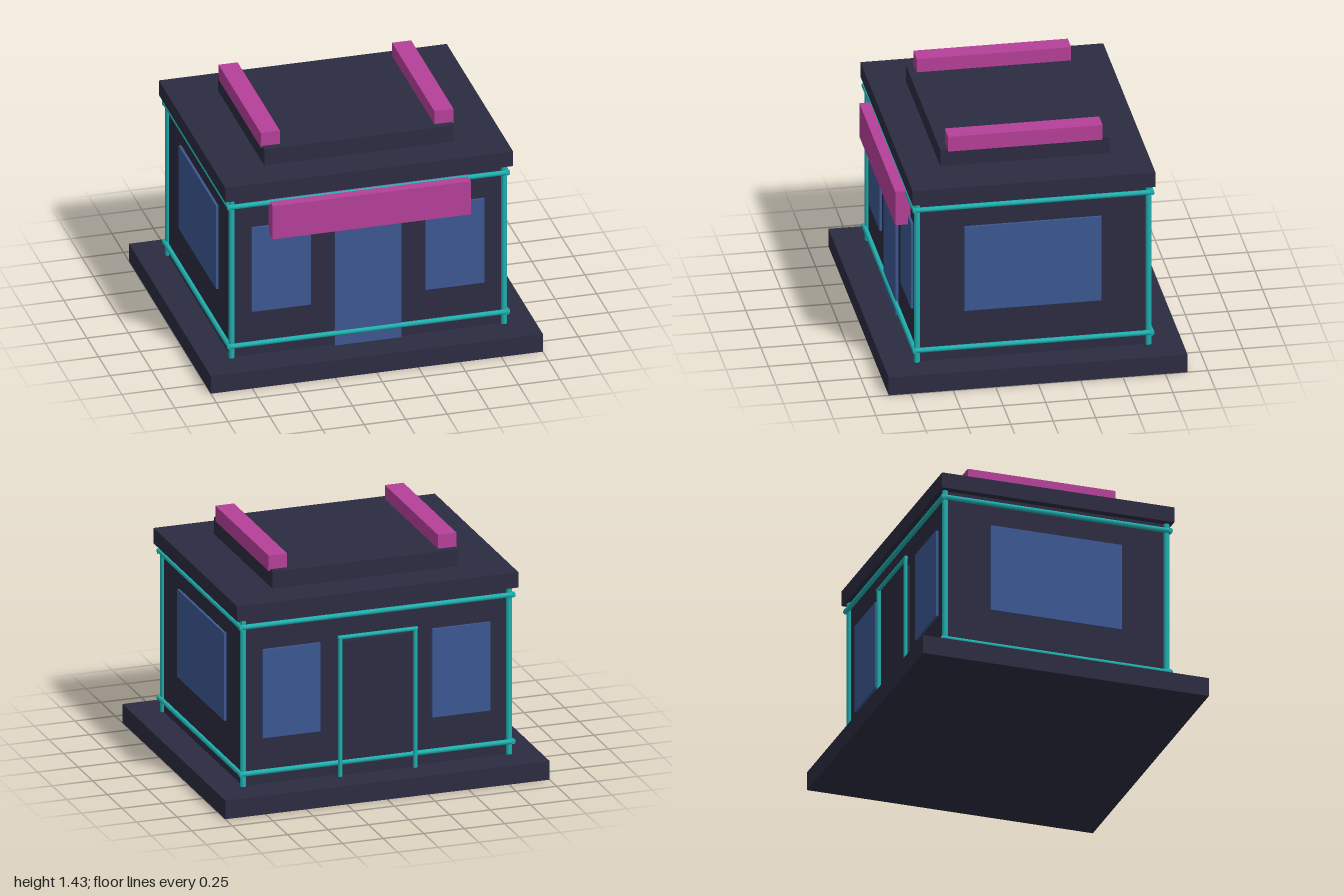
import * as THREE from 'three';

const mat = (name, color) => {
  const m = new THREE.MeshStandardMaterial({ color });
  m.name = name;
  return m;
};

export function createModel() {
  const root = new THREE.Group();
  root.name = 'kiosk';
  const dark = mat('dark slate', 0x2c2c42);
  const teal = mat('teal trim', 0x20b0b0);
  const magenta = mat('magenta', 0xb64099);
  const blue = mat('blue glass', 0x3c5892);

  // Box given by its min and max corners
  const box = (name, m, [x0, y0, z0], [x1, y1, z1]) => {
    const mesh = new THREE.Mesh(new THREE.BoxGeometry(x1 - x0, y1 - y0, z1 - z0), m);
    mesh.position.set((x0 + x1) / 2, (y0 + y1) / 2, (z0 + z1) / 2);
    mesh.name = name;
    root.add(mesh);
  };
  // Eight-sided tube centred at a point, running along one axis
  const tube = (name, axis, length, r, x, y, z) => {
    const geo = new THREE.CylinderGeometry(r, r, length, 8);
    geo.rotateY(Math.PI / 8);
    if (axis === 'x') geo.rotateZ(Math.PI / 2);
    if (axis === 'z') geo.rotateX(Math.PI / 2);
    const mesh = new THREE.Mesh(geo, teal);
    mesh.position.set(x, y, z);
    mesh.name = name;
    root.add(mesh);
  };

  // Base, walls and stepped roof
  box('base', dark, [-1, 0, -0.88], [1, 0.115, 0.88]);
  box('walls', dark, [-0.82, 0.115, -0.68], [0.82, 1.145, 0.68]);
  box('roofSlab', dark, [-0.867, 1.145, -0.715], [0.867, 1.24, 0.715]);
  box('roofStep', dark, [-0.572, 1.24, -0.5], [0.572, 1.345, 0.5]);

  // Sign over the entrance
  box('sign', magenta, [-0.597, 0.895, 0.68], [0.597, 1.11, 0.77]);

  // Front and back doors
  box('frontDoor', blue, [-0.2, 0.115, 0.68], [0.2, 0.93, 0.698]);
  box('backDoor', dark, [-0.21, 0.115, -0.702], [0.21, 0.94, -0.68]);

  for (const s of [-1, 1]) {
    // Roof beams
    box('roofBeam', magenta, [s * 0.5225 - 0.0575, 1.335, -0.455], [s * 0.5225 + 0.0575, 1.43, 0.455]);
    // Side window
    box('sideWindow', blue, [s * 0.826 - 0.009, 0.425, -0.403], [s * 0.826 + 0.009, 0.965, 0.403]);
    for (const t of [-1, 1]) {
      // Front and back windows, corner posts
      box('window', blue, [s * 0.523 - 0.178, 0.4, t * 0.686 - 0.009], [s * 0.523 + 0.178, 0.945, t * 0.686 + 0.009]);
      tube('cornerPost', 'y', 1.03, 0.0175, s * 0.82, 0.63, t * 0.682);
    }
    // Horizontal trim around the walls
    for (const y of [0.195, 1.1]) {
      tube('longTrim', 'x', 1.7, 0.015, 0, y, s * 0.698);
      tube('sideTrim', 'z', 1.42, 0.015, s * 0.837, y, 0);
    }
    // Back door frame uprights
    tube('doorFramePost', 'y', 0.86, 0.0125, s * 0.232, 0.545, -0.714);
  }
  tube('doorFrameTop', 'x', 0.488, 0.0125, 0, 0.97, -0.714);
  return root;
}
